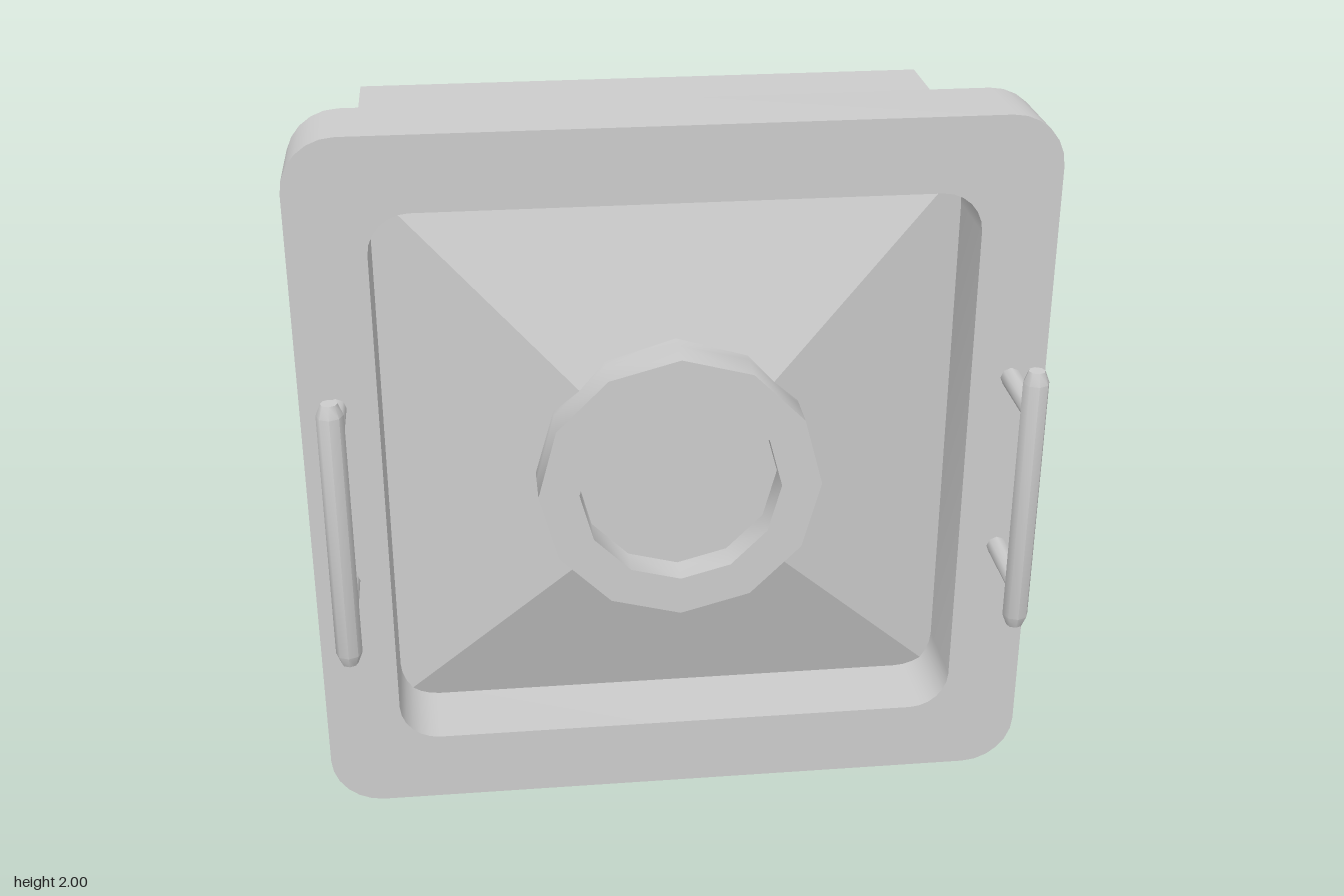
import * as THREE from 'three';
import { toCreasedNormals } from 'three/addons/utils/BufferGeometryUtils.js';

const grey = new THREE.MeshStandardMaterial({ color: 0xcccccc });
const greyThin = new THREE.MeshStandardMaterial({ color: 0xcccccc, side: THREE.DoubleSide });
const greyFlat = new THREE.MeshStandardMaterial({ color: 0xcccccc, side: THREE.DoubleSide, flatShading: true });

function part(parent, name, geometry, material = grey, smooth = true) {
  const geo = smooth ? toCreasedNormals(geometry, 0.8) : geometry;
  const mesh = new THREE.Mesh(geo, material);
  mesh.name = name;
  parent.add(mesh);
  return mesh;
}

// Square of half width h with rounded corners of radius r
function roundedSquare(h, r, PathType) {
  const p = new PathType();
  p.moveTo(h, r - h);
  p.absarc(h - r, h - r, r, 0, Math.PI / 2);
  p.absarc(r - h, h - r, r, Math.PI / 2, Math.PI);
  p.absarc(r - h, r - h, r, Math.PI, Math.PI * 1.5);
  p.absarc(h - r, r - h, r, Math.PI * 1.5, Math.PI * 2);
  return p;
}

// Four sloping planes from a square base to a 12-sided opening
function pyramidGeometry(base, baseZ, radius, slope) {
  const pos = [], index = [], n = 24;
  for (let i = 0; i < n; i++) {
    const a = (i / n) * Math.PI * 2, c = Math.cos(a), s = Math.sin(a);
    const m = Math.max(Math.abs(c), Math.abs(s));
    const r = i % 2 ? radius * Math.cos(Math.PI / 12) : radius;
    pos.push(c * r, s * r, baseZ + (base - m * r) * slope);
    pos.push((c / m) * base, (s / m) * base, baseZ);
    const j = (i + 1) % n;
    index.push(2 * i, 2 * i + 1, 2 * j + 1, 2 * i, 2 * j + 1, 2 * j);
  }
  const g = new THREE.BufferGeometry();
  g.setAttribute('position', new THREE.Float32BufferAttribute(pos, 3));
  g.setIndex(index);
  g.computeVertexNormals();
  return g;
}

export function createModel() {
  const model = new THREE.Group();
  const body = new THREE.Group();
  body.name = 'body';
  body.position.y = 1;
  model.add(body);

  // Rounded front frame
  const outline = roundedSquare(1, 0.145, THREE.Shape);
  outline.holes.push(roundedSquare(0.795, 0.11, THREE.Path));
  const frame = new THREE.ExtrudeGeometry(outline, { depth: 0.24, bevelEnabled: false, curveSegments: 3 });
  part(body, 'frontFrame', frame.translate(0, 0, 0.135));

  // Thin-walled housing, open at the back
  const housing = new THREE.Group();
  housing.name = 'housing';
  body.add(housing);
  const half = 0.833, depth = 0.765;
  for (let i = 0; i < 4; i++) {
    const wall = new THREE.PlaneGeometry(half * 2, depth);
    wall.rotateX(-Math.PI / 2).translate(0, half, 0.135 - depth / 2).rotateZ((i * Math.PI) / 2);
    part(housing, 'housingWall', wall, greyThin, false);
  }

  // Sloping panel inside the frame
  part(body, 'slopingPanel', pyramidGeometry(0.8, 0.15, 0.385, 0.35), greyFlat, false);

  // Central ring with a recessed disc, and its collar
  const profile = [[0, 0.34], [0.385, 0.34], [0.385, 0.44], [0.275, 0.44], [0.275, 0.35], [0, 0.35]];
  const ring = new THREE.LatheGeometry(profile.map(([x, y]) => new THREE.Vector2(x, y)), 12);
  part(body, 'centreRing', ring.rotateX(Math.PI / 2));
  const collar = new THREE.CylinderGeometry(0.385, 0.385, 0.05, 12, 1, true);
  part(body, 'ringCollar', collar.rotateX(Math.PI / 2).translate(0, 0, 0.315), greyThin);

  // Bar handles on two posts
  for (const side of [-1, 1]) {
    const handle = new THREE.Group();
    handle.name = side > 0 ? 'leftHandle' : 'rightHandle';
    handle.position.x = side * 0.905;
    body.add(handle);
    const bar = [[0, -0.383], [0.022, -0.383], [0.035, -0.35], [0.035, 0.35], [0.022, 0.383], [0, 0.383]];
    const barGeo = new THREE.LatheGeometry(bar.map(([x, y]) => new THREE.Vector2(x, y)), 8);
    part(handle, 'handleBar', barGeo.translate(0, 0, 0.598));
    for (const y of [-0.262, 0.262]) {
      const post = new THREE.CylinderGeometry(0.028, 0.028, 0.25, 8);
      part(handle, 'handlePost', post.rotateX(Math.PI / 2).translate(0, y, 0.475));
    }
  }
  return model;
}
